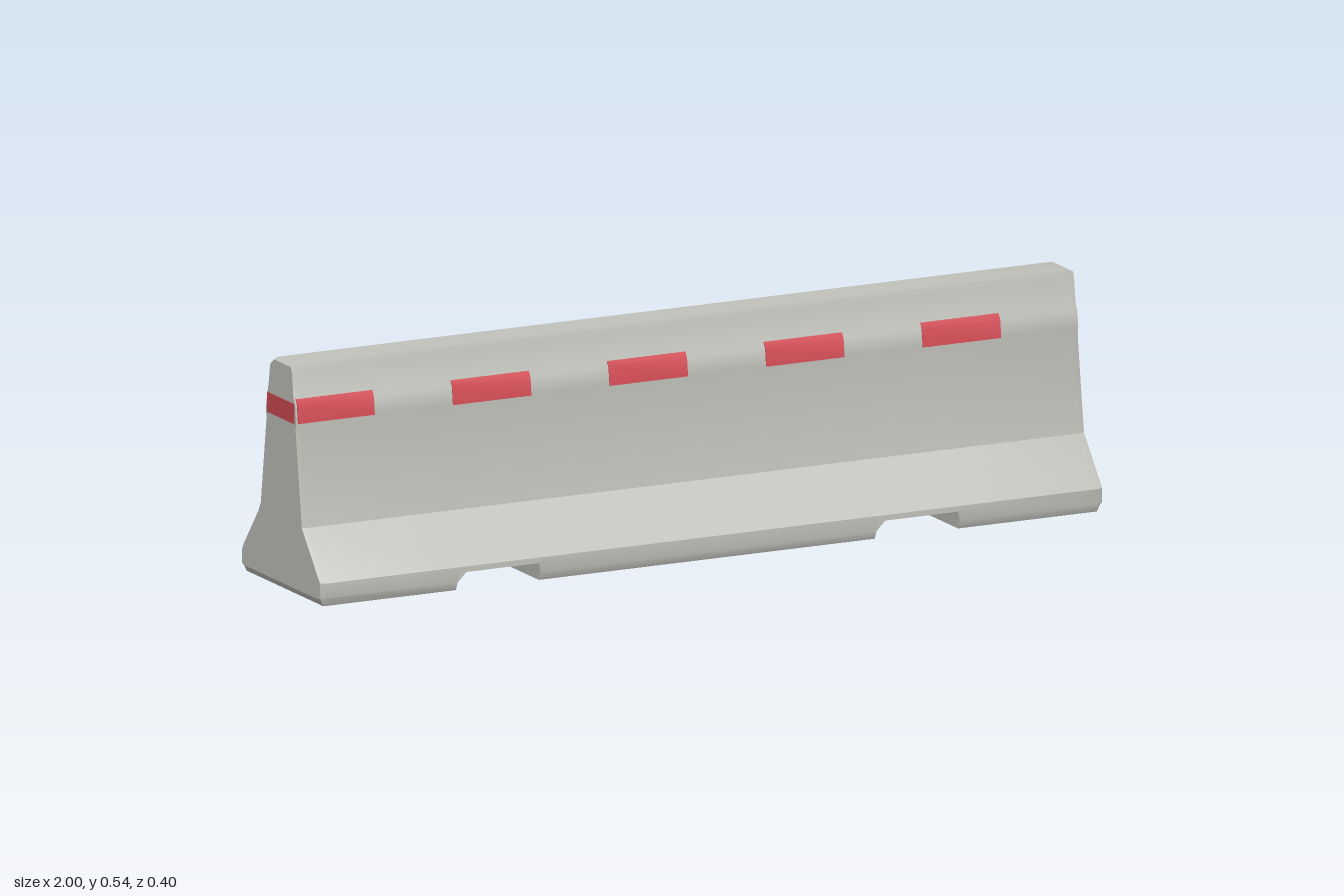
import * as THREE from 'three';
import { toCreasedNormals } from 'three/addons/utils/BufferGeometryUtils.js';

const concrete = new THREE.MeshStandardMaterial({ color: 0xc2c2bc });
concrete.name = 'concrete';
const red = new THREE.MeshStandardMaterial({ color: 0xd24c55 });
red.name = 'reflectorRed';

// Side profile as [z, y]: along the base, up the back, over the top, down the front
const profile = [
  [0.19, 0], [-0.19, 0], [-0.2, 0.02], [-0.2, 0.05], [-0.192, 0.065], [-0.115, 0.16], [-0.103, 0.182],
  [-0.074, 0.385], [-0.077, 0.41], [-0.073, 0.43], [-0.063, 0.47], [-0.055, 0.515], [-0.036, 0.535],
  [0.051, 0.535], [0.056, 0.518], [0.064, 0.46], [0.073, 0.445], [0.078, 0.405], [0.075, 0.385],
  [0.107, 0.165], [0.2, 0.055], [0.2, 0.02],
];

// Joins matching rings of [z, y] points at increasing x, and caps both ends
function loft(sections, crease) {
  const positions = [];
  const add = (x, p) => positions.push(x, p[1], p[0]);
  for (let s = 0; s < sections.length - 1; s++) {
    const { x: x0, ring: a } = sections[s];
    const { x: x1, ring: b } = sections[s + 1];
    for (let i = 0; i < a.length; i++) {
      const j = (i + 1) % a.length;
      add(x0, a[i]); add(x0, a[j]); add(x1, b[j]);
      add(x0, a[i]); add(x1, b[j]); add(x1, b[i]);
    }
  }
  const cap = ({ x, ring }, flip) => {
    const outline = ring.map(([z, y]) => new THREE.Vector2(-z, y));
    for (const face of THREE.ShapeUtils.triangulateShape(outline, [])) {
      for (const k of flip ? [...face].reverse() : face) add(x, ring[k]);
    }
  };
  cap(sections[0], true);
  cap(sections[sections.length - 1], false);
  const geometry = new THREE.BufferGeometry();
  geometry.setAttribute('position', new THREE.Float32BufferAttribute(positions, 3));
  return toCreasedNormals(geometry, crease);
}

export function createModel() {
  const model = new THREE.Group();
  model.name = 'trafficBarrier';
  const addMesh = (name, geometry, material) => {
    const mesh = new THREE.Mesh(geometry, material);
    mesh.name = name;
    model.add(mesh);
    return mesh;
  };

  // Barrier body: bevelled ends and two drainage slots lifted out of the base
  const raised = (h) => profile.map(([z, y]) => [z, Math.max(y, h)]);
  const end = profile.map(([z, y]) => [z * 0.97, THREE.MathUtils.clamp(y, 0.016, 0.53)]);
  const sections = [{ x: -0.999, ring: end }, { x: -0.988, ring: profile }];
  for (const [start, stop] of [[-0.65, -0.438], [0.42, 0.633]]) {
    sections.push(
      { x: start, ring: profile },
      { x: start + 0.008, ring: raised(0.028) },
      { x: start + 0.022, ring: raised(0.042) },
      { x: stop - 0.004, ring: raised(0.042) },
      { x: stop, ring: profile },
    );
  }
  sections.push({ x: 0.988, ring: profile }, { x: 0.999, ring: end });
  addMesh('barrierBody', loft(sections, 0.5), concrete);

  // Reflective stripes hugging the shoulder on both faces
  const lift = 0.002, sink = -0.004;
  const front = [[0.0645, 0.458], [0.073, 0.445], [0.078, 0.403]];
  const back = [[-0.0755, 0.4], [-0.077, 0.41], [-0.073, 0.43], [-0.0655, 0.46]];
  const plate = (points, side) => [
    ...points.map(([z, y]) => [z + side * lift, y]),
    ...points.map(([z, y]) => [z + side * sink, y]).reverse(),
  ];
  for (let i = 0; i < 5; i++) {
    const x0 = Math.max(-0.995, -1 + i * 0.4);
    const x1 = -0.8 + i * 0.4;
    for (const [name, points, side] of [['frontStripe', front, 1], ['backStripe', back, -1]]) {
      const ring = plate(points, side);
      addMesh(name, loft([{ x: x0, ring }, { x: x1, ring }], 0.5), red);
    }
  }

  // Reflectors on the two ends
  const leftEnd = addMesh('leftEndReflector', new THREE.BoxGeometry(0.004, 0.047, 0.088), red);
  leftEnd.position.set(0.998, 0.424, 0.009);
  const rightEnd = addMesh('rightEndReflector', new THREE.BoxGeometry(0.004, 0.047, 0.136), red);
  rightEnd.position.set(-0.998, 0.424, 0);

  return model;
}
